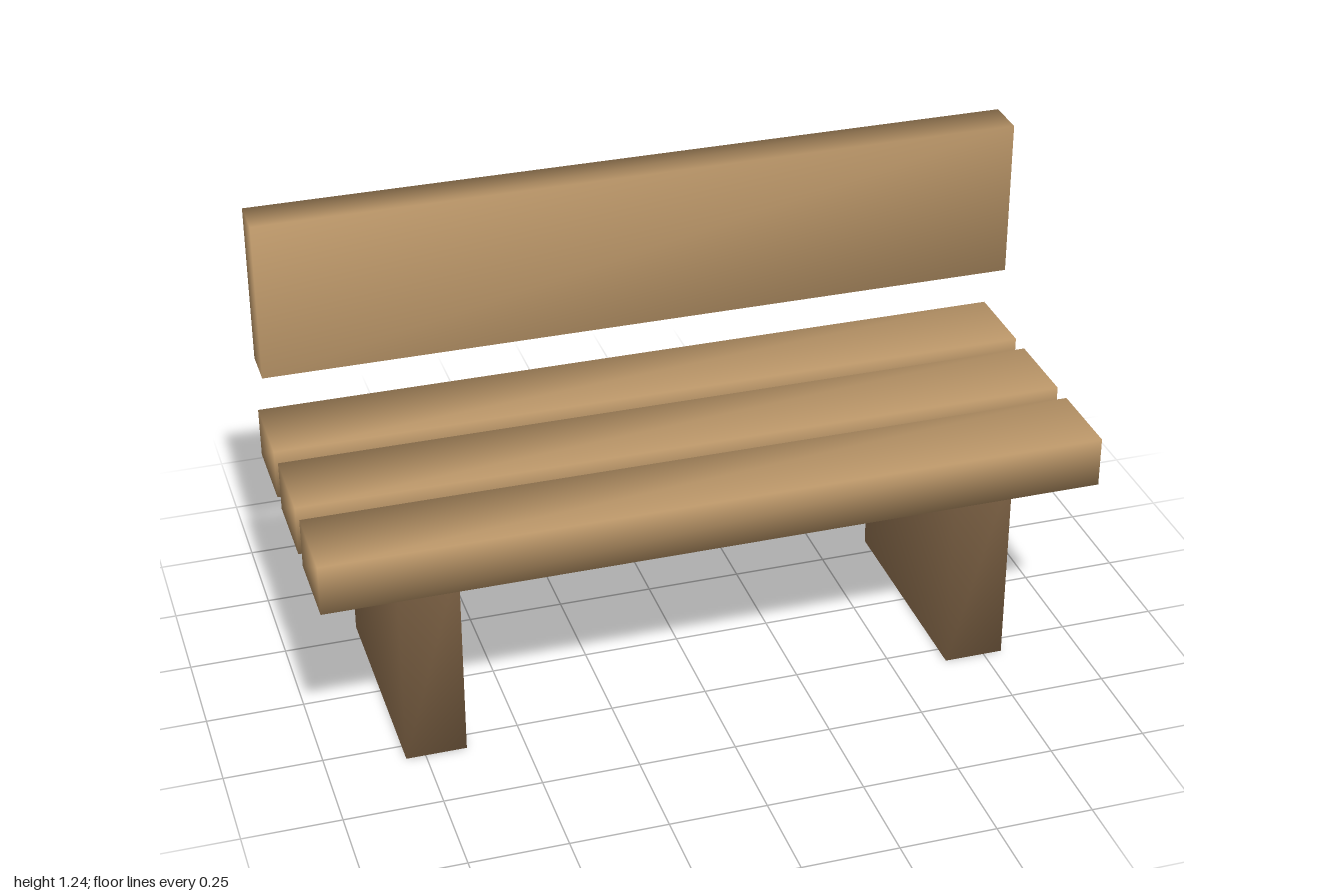
import * as THREE from 'three';
import { mergeVertices } from 'three/addons/utils/BufferGeometryUtils.js';

const plankWood = new THREE.MeshStandardMaterial({ color: 0xb89467 });
plankWood.name = 'plankWood';
const legWood = new THREE.MeshStandardMaterial({ color: 0x8a6c4c });
legWood.name = 'legWood';

// Box with welded corners, so its shading runs softly over the edges
function softBox(name, material, [w, h, d], [x, y, z]) {
  const box = new THREE.BoxGeometry(w, h, d);
  box.deleteAttribute('normal');
  box.deleteAttribute('uv');
  const geometry = mergeVertices(box);
  geometry.computeVertexNormals();
  const mesh = new THREE.Mesh(geometry, material);
  mesh.name = name;
  mesh.position.set(x, y, z);
  return mesh;
}

export function createModel() {
  const bench = new THREE.Group();
  bench.name = 'bench';

  // Three seat planks, front to back
  ['frontSeatPlank', 'middleSeatPlank', 'backSeatPlank'].forEach((name, i) => {
    bench.add(softBox(name, plankWood, [2, 0.132, 0.221], [0, 0.591, 0.277 * (1 - i)]));
  });

  // Backrest board, standing clear of the seat
  bench.add(softBox('backrest', plankWood, [2, 0.42, 0.11], [0, 1.025, -0.32]));

  // Slab legs, let slightly into the seat planks
  for (const [name, side] of [['leftLeg', 1], ['rightLeg', -1]]) {
    bench.add(softBox(name, legWood, [0.155, 0.557, 0.61], [side * 0.722, 0.2785, 0]));
  }
  return bench;
}
